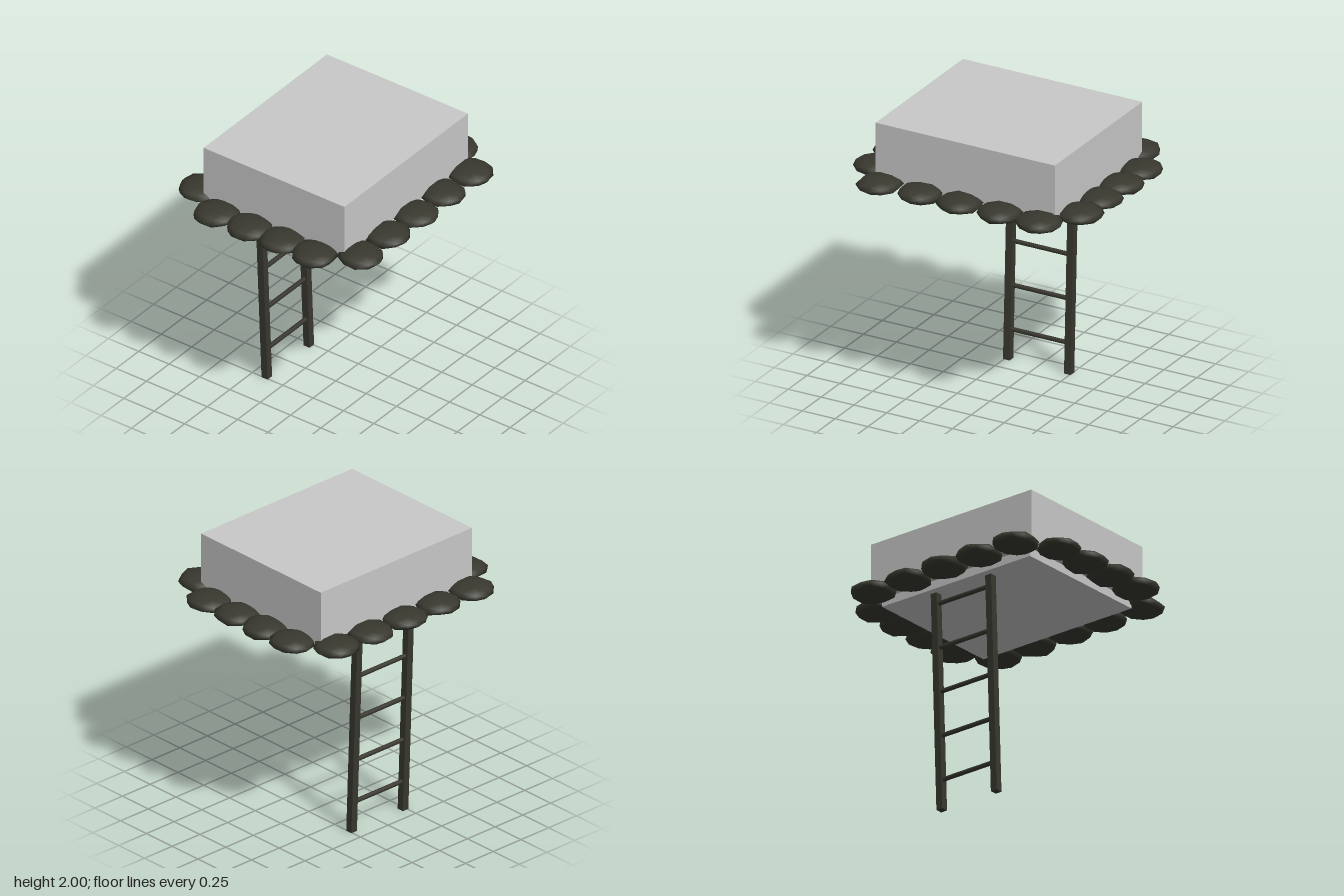
import * as THREE from 'three';
import { mergeVertices } from 'three/addons/utils/BufferGeometryUtils.js';

export function createModel() {
  const model = new THREE.Group();
  const grey = new THREE.MeshStandardMaterial({ color: 0xc8c8c8 });
  grey.name = 'pale grey';
  const dark = new THREE.MeshStandardMaterial({ color: 0x38382f });
  dark.name = 'dark olive';

  let seed = 7;
  const rand = () => (seed = (seed * 16807) % 2147483647) / 2147483647;

  function add(name, geometry, material, x, y, z, parent = model) {
    const mesh = new THREE.Mesh(geometry, material);
    mesh.name = name;
    mesh.position.set(x, y, z);
    parent.add(mesh);
    return mesh;
  }

  // Floor slab and the large block on it
  add('floorSlab', new THREE.BoxGeometry(1.26, 0.06, 1.06), grey, 0, 1.58, 0);
  add('block', new THREE.BoxGeometry(1.364, 0.39, 1.16), grey, 0, 1.805, 0);

  // Flattened, slightly irregular boulder with smooth normals
  function boulderGeometry() {
    let g = new THREE.IcosahedronGeometry(1, 1);
    g.deleteAttribute('normal');
    g.deleteAttribute('uv');
    g = mergeVertices(g, 1e-3);
    const p = g.attributes.position;
    for (let i = 0; i < p.count; i++) {
      const k = 0.94 + rand() * 0.12;
      p.setXYZ(i, p.getX(i) * k * 0.155, p.getY(i) * k * 0.054, p.getZ(i) * k * 0.155);
    }
    g.computeVertexNormals();
    return g;
  }

  // Ring of boulders around the platform
  const ring = new THREE.Group();
  ring.name = 'boulderRing';
  model.add(ring);
  for (const side of [-1, 1]) {
    for (let i = -2; i <= 2; i++) {
      add('boulder', boulderGeometry(), dark, i * 0.303, 1.605, side * 0.655, ring);
    }
    for (let i = -1.5; i <= 1.5; i++) {
      add('boulder', boulderGeometry(), dark, side * 0.775, 1.605, i * 0.267, ring);
    }
  }

  // Leaning ladder near the back
  const ladder = new THREE.Group();
  ladder.name = 'ladder';
  model.add(ladder);
  const height = 1.555;
  const lean = 0.06;
  const zAt = (y) => -0.395 - lean * (y / height);
  for (const side of [-1, 1]) {
    const rail = new THREE.BoxGeometry(0.05, height, 0.05);
    // Shear the rail so both ends stay level
    const p = rail.attributes.position;
    for (let i = 0; i < p.count; i++) p.setZ(i, p.getZ(i) - lean * (p.getY(i) / height));
    rail.computeVertexNormals();
    add('ladderRail', rail, dark, side * 0.232, height / 2, zAt(height / 2), ladder);
  }
  const rungGeometry = new THREE.CylinderGeometry(0.016, 0.016, 0.43, 8).rotateZ(Math.PI / 2);
  for (let i = 0; i < 5; i++) {
    const y = 0.215 + i * 0.316;
    add('ladderRung', rungGeometry, dark, 0, y, zAt(y), ladder);
  }

  return model;
}
